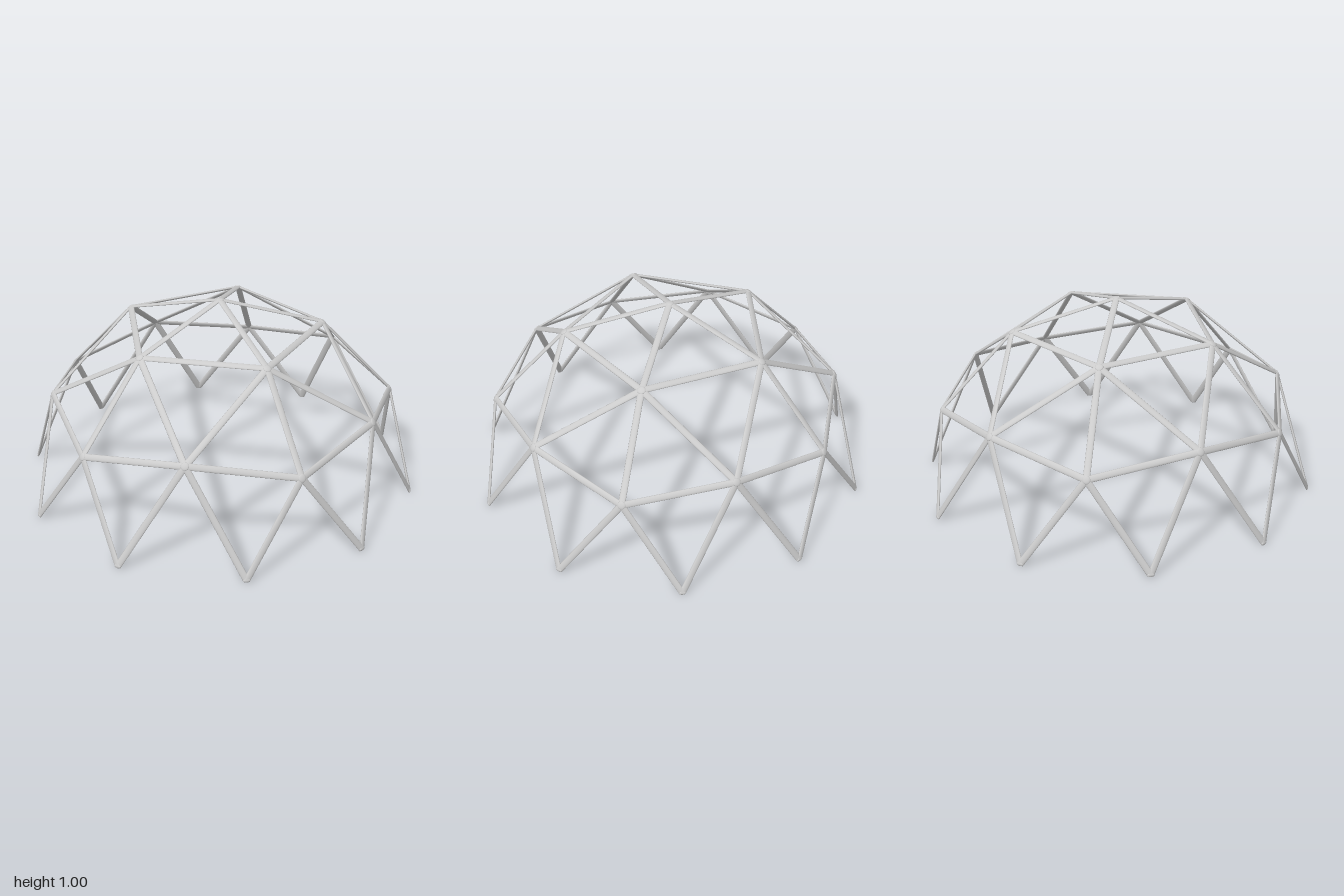
import * as THREE from 'three';

const RADIUS = 0.993, HEIGHT = 0.984, LIFT = 0.01;
const HALF_WIDTH = 0.0165, HALF_THICK = 0.0065;

export function createModel() {
  const dome = new THREE.Group();
  dome.name = 'geodesicDome';
  const material = new THREE.MeshStandardMaterial({ color: 0xcccccc });
  const barGeometry = new THREE.CylinderGeometry(1, 1, 1, 12);
  const jointGeometry = new THREE.SphereGeometry(1, 16, 10);

  // Node on the unit sphere: height y, angle in degrees measured from the back
  const node = (y, degrees) => {
    const a = THREE.MathUtils.degToRad(degrees), r = Math.sqrt(1 - y * y);
    return new THREE.Vector3(r * Math.sin(a), y, -r * Math.cos(a));
  };
  const place = (n) => new THREE.Vector3(n.x * RADIUS, n.y * HEIGHT + LIFT, n.z * RADIUS);

  // Flattened tube whose broad side faces outward from the dome
  const addBar = (name, from, to) => {
    const a = place(from), b = place(to);
    const along = b.clone().sub(a);
    const length = along.length();
    along.normalize();
    const outward = from.clone().add(to);
    outward.addScaledVector(along, -outward.dot(along)).normalize();
    const across = new THREE.Vector3().crossVectors(along, outward);
    const bar = new THREE.Mesh(barGeometry, material);
    bar.name = name;
    bar.position.addVectors(a, b).multiplyScalar(0.5);
    bar.quaternion.setFromRotationMatrix(new THREE.Matrix4().makeBasis(across, along, outward));
    bar.scale.set(HALF_WIDTH, length, HALF_THICK);
    dome.add(bar);
  };

  // Flat rounded joint where bars meet
  const addJoint = (name, n, halfWidth, halfHeight) => {
    const joint = new THREE.Mesh(jointGeometry, material);
    joint.name = name;
    joint.position.copy(place(n));
    joint.quaternion.setFromUnitVectors(new THREE.Vector3(0, 0, 1), n);
    joint.scale.set(halfWidth, halfHeight, HALF_THICK);
    dome.add(joint);
  };

  // Rings of nodes; the middle ring alternates between low and high nodes
  const apex = node(1, 0);
  const upper = [], middle = [], base = [];
  for (let i = 0; i < 5; i++) upper.push(node(0.8507, 72 * i));
  for (let i = 0; i < 10; i++) {
    middle.push(node(i % 2 ? 0.5257 : 0.4472, 36 * i));
    base.push(node(0, 36 * i + 18));
  }

  // Crown
  for (let i = 0; i < 5; i++) {
    addBar('crownBar', apex, upper[i]);
    addBar('upperRingBar', upper[i], upper[(i + 1) % 5]);
    for (const step of [-1, 0, 1]) {
      addBar('shoulderBar', upper[i], middle[(2 * i + step + 10) % 10]);
    }
  }

  // Middle ring and splayed legs
  for (let i = 0; i < 10; i++) {
    addBar('middleRingBar', middle[i], middle[(i + 1) % 10]);
    addBar('leg', middle[i], base[i]);
    addBar('leg', middle[(i + 1) % 10], base[i]);
  }

  // Joints and feet
  for (const n of [apex, ...upper, ...middle]) addJoint('joint', n, 0.02, 0.02);
  for (const n of base) addJoint('foot', n, 0.018, 0.01);

  return dome;
}
